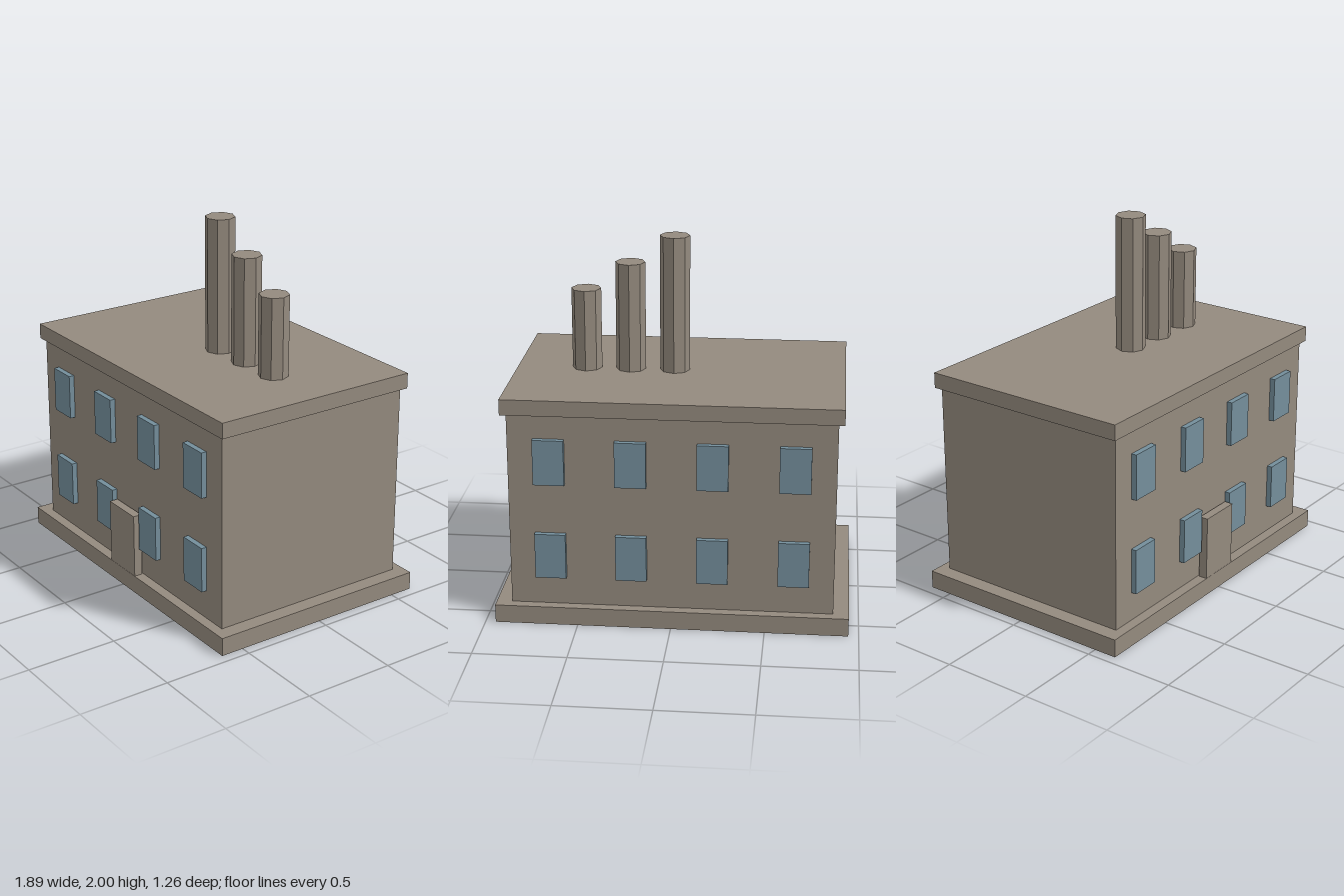
import * as THREE from 'three';

export function createModel() {
  const model = new THREE.Group();
  model.name = 'factory';

  const wallMat = new THREE.MeshStandardMaterial({ color: 0x948a7e, flatShading: true });
  wallMat.name = 'concrete';
  const glassMat = new THREE.MeshStandardMaterial({ color: 0x748e9b, flatShading: true });
  glassMat.name = 'window glass';

  function add(name, geometry, material, x, y, z, parent = model) {
    const mesh = new THREE.Mesh(geometry, material);
    mesh.name = name;
    mesh.position.set(x, y, z);
    parent.add(mesh);
  }

  // Box given by its width, bottom, top and depth, centred on the plan
  function slab(name, w, y0, y1, d) {
    add(name, new THREE.BoxGeometry(w, y1 - y0, d), wallMat, 0, (y0 + y1) / 2, 0);
  }
  slab('foundation', 1.89, 0, 0.1, 1.256);
  slab('walls', 1.724, 0.1, 1.17, 1.144);
  slab('roof', 1.786, 1.17, 1.255, 1.186);

  // Door standing just proud of the front wall
  add('door', new THREE.BoxGeometry(0.24, 0.357, 0.048), wallMat, 0, 0.2785, 0.603);

  // Two rows of four windows on the front and the back
  const windows = new THREE.Group();
  windows.name = 'windows';
  model.add(windows);
  const pane = new THREE.BoxGeometry(0.165, 0.25, 0.06);
  for (const [side, z] of [['front', 0.572], ['back', -0.572]]) {
    for (const y of [0.385, 0.915]) {
      for (let i = 0; i < 4; i++) {
        add(side + 'Window', pane, glassMat, -0.647 + i * 0.43, y, z, windows);
      }
    }
  }

  // Eight-sided chimneys, stepping down towards the left
  for (let i = 0; i < 3; i++) {
    const h = 0.745 - i * 0.15;
    add('chimney', new THREE.CylinderGeometry(0.081, 0.081, h, 8), wallMat, 0.033 + i * 0.24, 1.255 + h / 2, 0);
  }

  return model;
}
